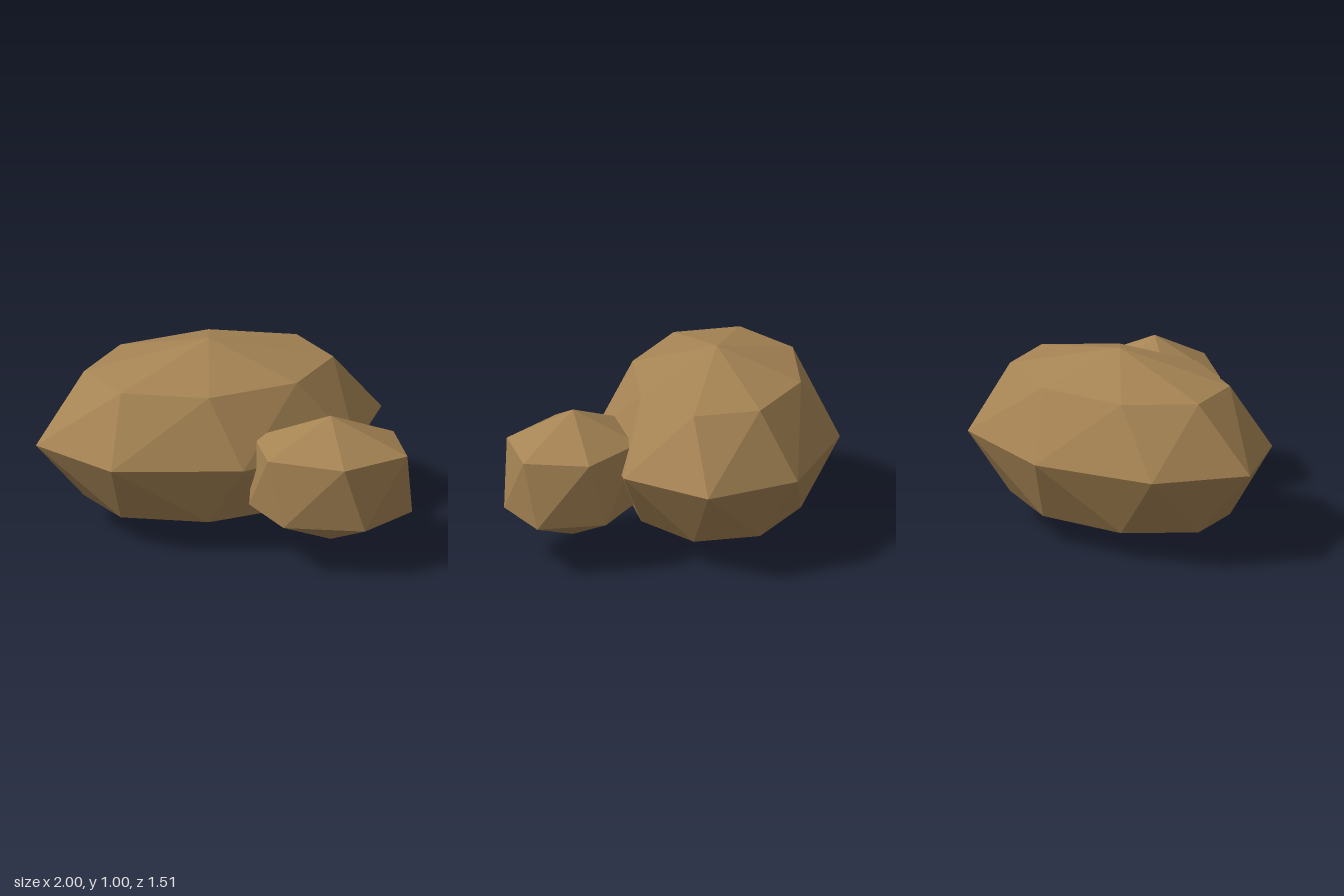
import * as THREE from 'three';
import { ConvexGeometry } from 'three/addons/geometries/ConvexGeometry.js';

const stone = new THREE.MeshStandardMaterial({ color: 0xa68454, flatShading: true });
stone.name = 'brown stone';

// Faceted boulder: a coarse sphere whose odd rings are turned by a quarter segment
function boulder(name, sides, rows, radii, position, turn) {
  const points = [new THREE.Vector3(0, radii[1], 0), new THREE.Vector3(0, -radii[1], 0)];
  for (let row = 1; row < rows; row++) {
    const polar = (Math.PI * row) / rows;
    const twist = row % 2 ? 0.25 : 0;
    for (let i = 0; i < sides; i++) {
      const a = ((i + twist) / sides) * Math.PI * 2;
      points.push(new THREE.Vector3(
        Math.cos(a) * Math.sin(polar) * radii[0],
        Math.cos(polar) * radii[1],
        Math.sin(a) * Math.sin(polar) * radii[2]
      ));
    }
  }
  const mesh = new THREE.Mesh(new ConvexGeometry(points), stone);
  mesh.name = name;
  mesh.position.set(...position);
  mesh.rotation.y = turn;
  return mesh;
}

export function createModel() {
  const group = new THREE.Group();
  group.name = 'rocks';
  group.add(boulder('largeRock', 8, 4, [0.943, 0.498, 0.645], [-0.13, 0.5, -0.075], 0.4));
  group.add(boulder('smallRock', 6, 3, [0.496, 0.35, 0.395], [0.57, 0.45, 0.425], 0));
  return group;
}
